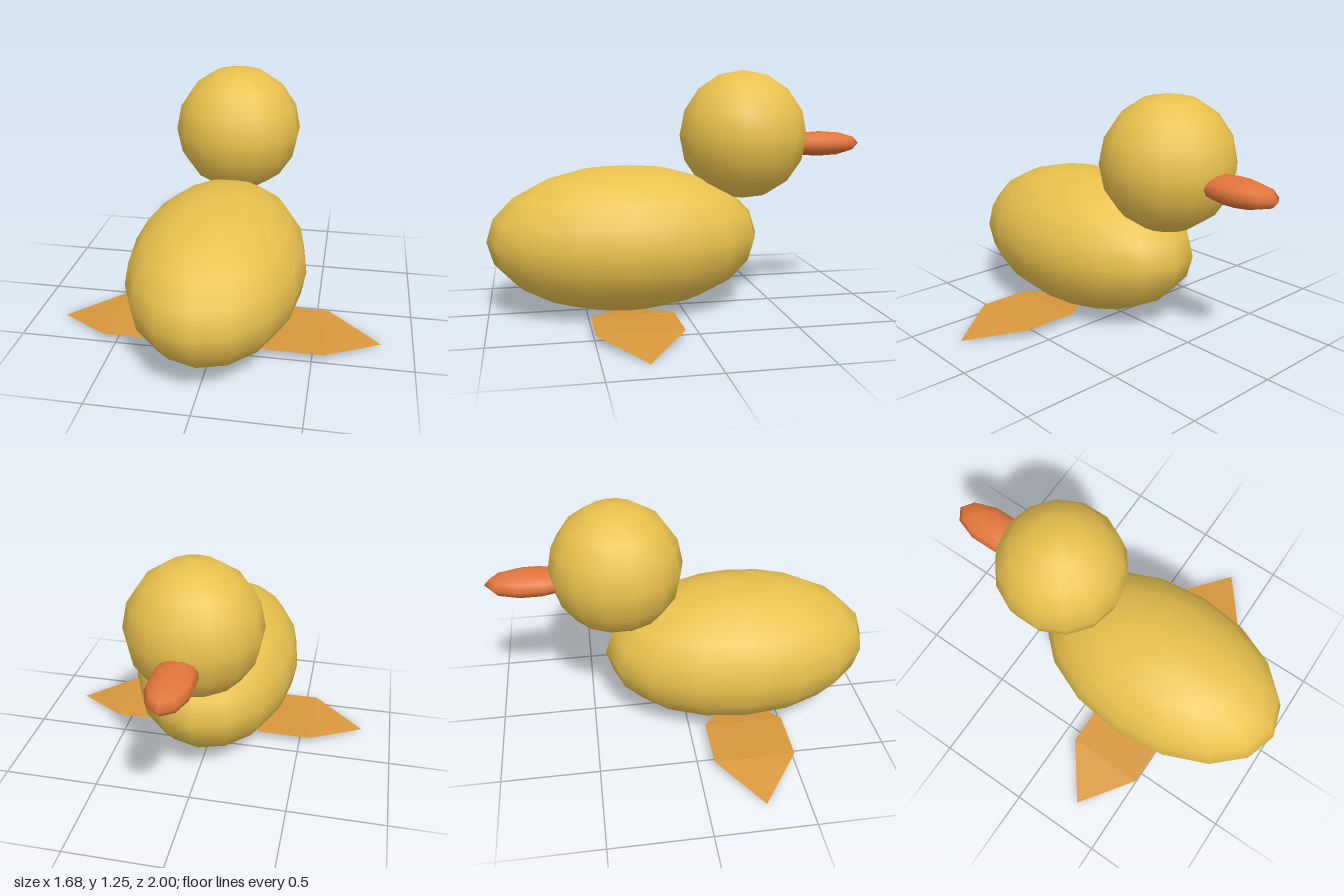
import * as THREE from 'three';

const YELLOW = 0xe8c14d, ORANGE = 0xe0753a, AMBER = 0xd9983c;

// Low-sided ellipsoid with a vertex on its z axis
function ellipsoid(name, color, [rx, ry, rz], [x, y, z], around, rows) {
  const geometry = new THREE.SphereGeometry(1, around, rows);
  geometry.rotateY(Math.PI / 2).scale(rx, ry, rz);
  const mesh = new THREE.Mesh(geometry, new THREE.MeshStandardMaterial({ color }));
  mesh.name = name;
  mesh.position.set(x, y, z);
  return mesh;
}

// Thin six-sided foot, pointed and bent down at both ends
function foot(name, side) {
  const geometry = new THREE.PlaneGeometry(0.84, 0.42, 3, 1).rotateX(-Math.PI / 2);
  const p = geometry.attributes.position;
  for (let i = 0; i < p.count; i++) {
    const atTip = Math.abs(p.getX(i)) > 0.3;
    p.setY(i, atTip ? 0 : 0.045);
    if (atTip) p.setZ(i, 0);
  }
  const flat = geometry.toNonIndexed();
  flat.computeVertexNormals();
  const mesh = new THREE.Mesh(
    flat,
    new THREE.MeshStandardMaterial({ color: AMBER, side: THREE.DoubleSide })
  );
  mesh.name = name;
  mesh.position.set(side * 0.42, 0, 0.29);
  return mesh;
}

export function createModel() {
  const model = new THREE.Group();
  model.name = 'duckling';
  model.add(
    ellipsoid('body', YELLOW, [0.445, 0.378, 0.71], [0, 0.382, 0.29], 16, 10),
    ellipsoid('head', YELLOW, [0.34, 0.34, 0.34], [0, 0.91, -0.342], 14, 8),
    ellipsoid('beak', ORANGE, [0.11, 0.067, 0.23], [0, 0.855, -0.77], 10, 6),
    foot('leftFoot', 1),
    foot('rightFoot', -1)
  );
  return model;
}
